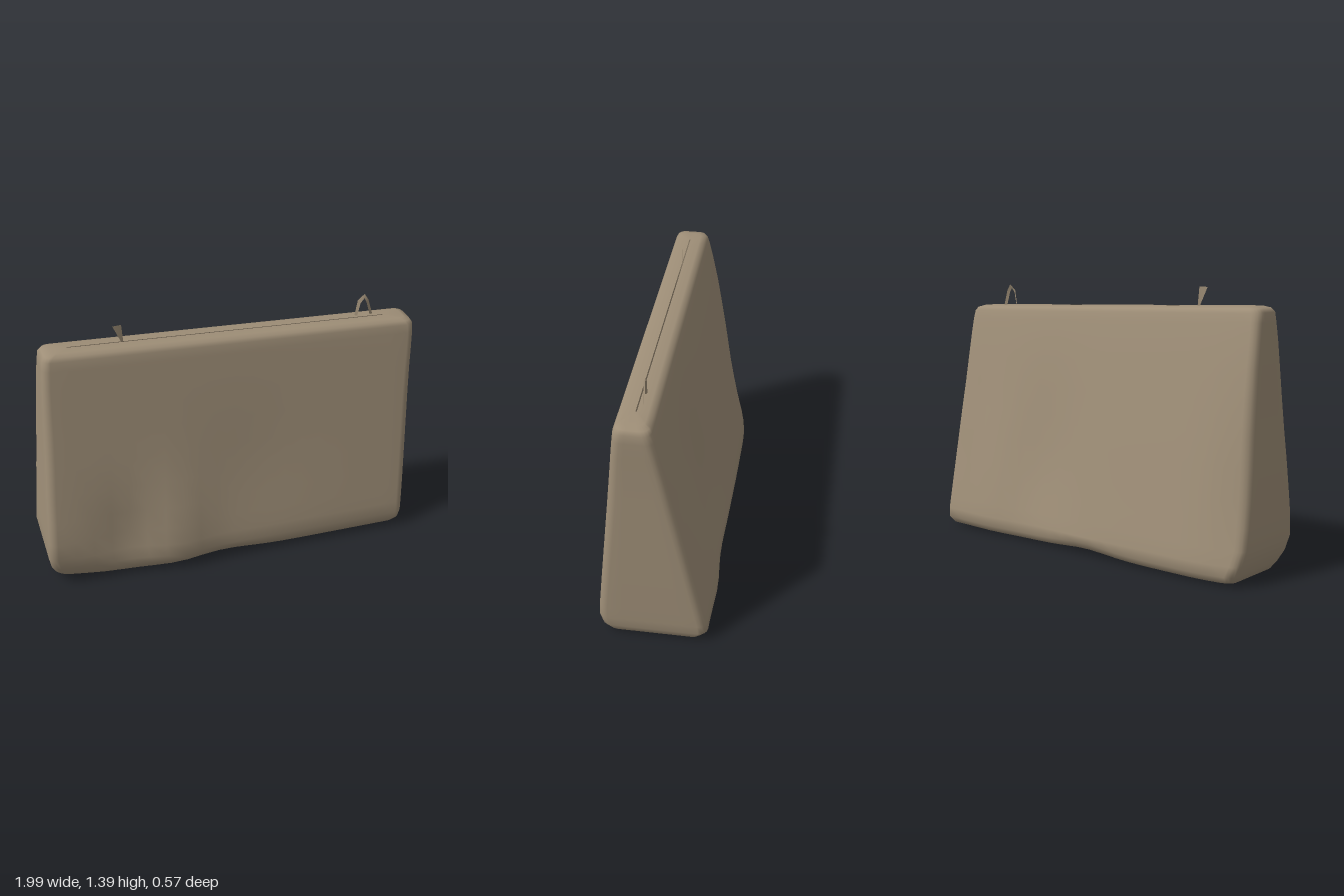
import * as THREE from 'three';

const canvas = new THREE.MeshStandardMaterial({ color: 0x9e8e77, side: THREE.DoubleSide });
canvas.name = 'tan canvas';

// Soft local bump, 1 at its centre
const bump = (x, y, cx, cy, sx, sy) => Math.exp(-(((x - cx) / sx) ** 2) - ((y - cy) / sy) ** 2);

// Cross-sections from floor to top: y, left x, right x, back z, front z, corner radius
const LEVELS = [
  [0.015, -0.6, 0.6, -0.005, 0.005, 0.002],
  [0.01, -0.91, 0.94, -0.19, 0.2, 0.05],
  [0.025, -0.945, 0.96, -0.235, 0.235, 0.05],
  [0.06, -0.965, 0.972, -0.262, 0.262, 0.045],
  [0.11, -0.985, 0.975, -0.258, 0.276, 0.045],
  [0.18, -0.998, 0.976, -0.243, 0.273, 0.045],
  [0.28, -0.994, 0.978, -0.222, 0.264, 0.045],
  [0.4, -0.988, 0.98, -0.196, 0.253, 0.045],
  [0.55, -0.98, 0.982, -0.165, 0.239, 0.045],
  [0.7, -0.97, 0.984, -0.133, 0.225, 0.045],
  [0.85, -0.962, 0.986, -0.1, 0.211, 0.045],
  [1.0, -0.954, 0.988, -0.068, 0.197, 0.042],
  [1.12, -0.947, 0.992, -0.04, 0.186, 0.04],
  [1.21, -0.94, 0.995, -0.018, 0.177, 0.04],
  [1.255, -0.935, 0.993, -0.005, 0.172, 0.04],
  [1.275, -0.92, 0.98, 0.005, 0.162, 0.04],
  [1.285, -0.88, 0.95, 0.03, 0.14, 0.03],
  [1.286, -0.8, 0.85, 0.082, 0.088, 0.002],
];

// Rounded rectangle with subdivided sides, running from +x towards -z
function ring([y, xl, xr, zb, zf, r]) {
  const corners = [[xr - r, zb + r, 0], [xl + r, zb + r, 1], [xl + r, zf - r, 2], [xr - r, zf - r, 3]];
  const steps = [20, 6, 20, 6];
  const points = [];
  corners.forEach(([cx, cz, q], i) => {
    let last;
    for (let k = 0; k <= 4; k++) {
      const a = (q + k / 4) * Math.PI / 2;
      last = [cx + r * Math.cos(a), cz - r * Math.sin(a)];
      points.push(last);
    }
    const [nx, nz, nq] = corners[(i + 1) % 4];
    const a = nq * Math.PI / 2;
    const next = [nx + r * Math.cos(a), nz - r * Math.sin(a)];
    for (let k = 1; k < steps[i]; k++) {
      const t = k / steps[i];
      points.push([last[0] + (next[0] - last[0]) * t, last[1] + (next[1] - last[1]) * t]);
    }
  });
  return points.map(([x, z]) => sag(x, y, z, zb, zf));
}

// Creases, sagging cloth and the sloping top edge
function sag(x, y, z, zb, zf) {
  const t = THREE.MathUtils.clamp((z - zb) / (zf - zb), 0, 1);
  const front = 0.03 * bump(x, y, -0.3, 0.28, 0.13, 0.28)
    - 0.03 * bump(x, y, -0.58, 0.25, 0.14, 0.2)
    - 0.012 * bump(x, y, 0.1, 0.55, 0.3, 0.3)
    - 0.07 * bump(x, y, -1, 0.02, 0.28, 0.13);
  const back = -0.015 * bump(x, y, 0.62, 0.3, 0.16, 0.4)
    + 0.025 * bump(x, y, 0.3, 0.45, 0.22, 0.4)
    + 0.045 * bump(x, y, -1, 0.3, 0.15, 0.5);
  const lift = y < 0.1 ? 0.02 * bump(x, 0, -0.05, 0, 0.2, 1) * Math.abs(t - 0.5) * 2 : 0;
  return [x, y + lift - 0.04 * x * y / 1.285, z + front * t + back * (1 - t)];
}

function bodyGeometry() {
  const rings = LEVELS.map(ring);
  const n = rings[0].length;
  const index = [];
  for (let j = 0; j < rings.length - 1; j++) {
    for (let i = 0; i < n; i++) {
      const a = j * n + i, b = j * n + (i + 1) % n;
      index.push(a, b, a + n, b, b + n, a + n);
    }
  }
  const g = new THREE.BufferGeometry();
  g.setAttribute('position', new THREE.Float32BufferAttribute(rings.flat(2), 3));
  g.setIndex(index);
  g.computeVertexNormals();
  return g;
}

// Flat strip of cloth from pairs of edge points
function strip(name, pairs) {
  const index = [];
  for (let i = 0; i < pairs.length - 1; i++) {
    const a = i * 2;
    index.push(a, a + 1, a + 2, a + 1, a + 3, a + 2);
  }
  const g = new THREE.BufferGeometry();
  g.setAttribute('position', new THREE.Float32BufferAttribute(pairs.flat(2), 3));
  g.setIndex(index);
  g.computeVertexNormals();
  const mesh = new THREE.Mesh(g, canvas);
  mesh.name = name;
  return mesh;
}

export function createModel() {
  const group = new THREE.Group();
  group.name = 'clothBag';

  const body = new THREE.Mesh(bodyGeometry(), canvas);
  body.name = 'bagBody';
  group.add(body);

  // Torn scrap of strap
  group.add(strip('strapScrap', [
    [[-0.575, 1.4, 0.095], [-0.53, 1.4, 0.088]],
    [[-0.53, 1.3, 0.09], [-0.522, 1.3, 0.085]],
  ]));

  // Small strap loop
  group.add(strip('strapLoop', [
    [[0.7, 1.25, 0.06], [0.712, 1.25, 0.068]],
    [[0.715, 1.34, 0.06], [0.728, 1.325, 0.068]],
    [[0.752, 1.37, 0.058], [0.748, 1.35, 0.068]],
    [[0.775, 1.335, 0.058], [0.762, 1.325, 0.066]],
    [[0.802, 1.25, 0.06], [0.785, 1.25, 0.066]],
  ]));

  return group;
}
